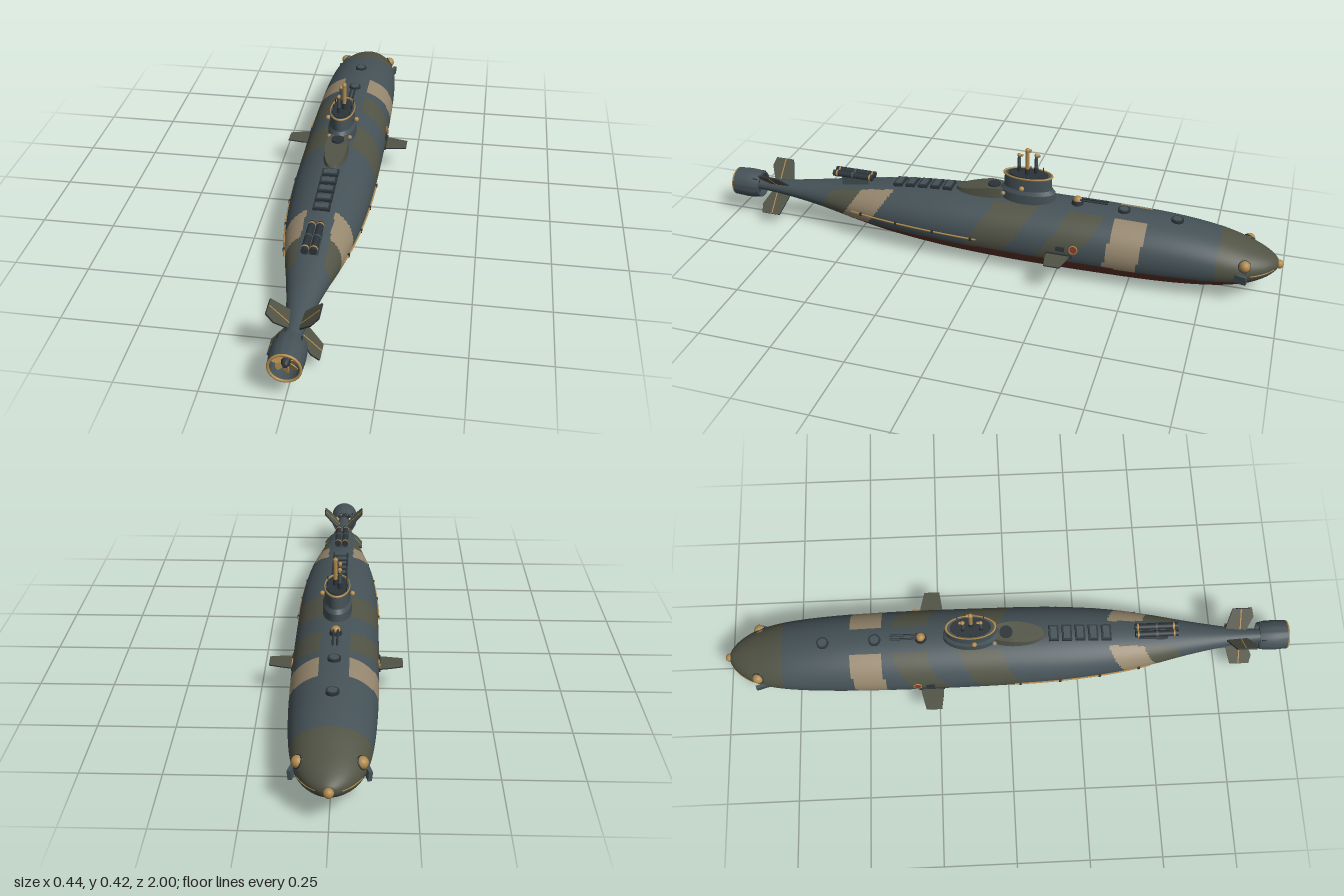
import * as THREE from 'three';
import { toCreasedNormals } from 'three/addons/utils/BufferGeometryUtils.js';

const V2 = (x, y) => new THREE.Vector2(x, y);
const V3 = (x, y, z) => new THREE.Vector3(x, y, z);

// Hull stations, bow (-z) to stern: z, half width, top, bottom
const stations = [
  [-0.985, 0, 0.12, 0.12], [-0.975, 0.03, 0.139, 0.1], [-0.94, 0.068, 0.159, 0.075],
  [-0.88, 0.1, 0.181, 0.05], [-0.78, 0.122, 0.208, 0.027], [-0.62, 0.135, 0.228, 0.01],
  [-0.4, 0.141, 0.235, 0.003], [-0.1, 0.141, 0.235, 0.001], [0.15, 0.136, 0.229, 0.011],
  [0.35, 0.119, 0.213, 0.03], [0.5, 0.093, 0.192, 0.052], [0.65, 0.06, 0.168, 0.077],
  [0.8, 0.033, 0.146, 0.092], [0.91, 0.022, 0.138, 0.098]];
const plan = new THREE.SplineCurve(stations.map(s => V2(s[0], s[1])));
const side = new THREE.SplineCurve(stations.map(s => V2(s[2], s[3])));

// Point on the hull at curve position t, angle a from the top towards +x
function hullAt(t, a) {
  const p = plan.getPoint(t), q = side.getPoint(t);
  return V3(Math.max(p.y, 0) * Math.sin(a),
    (q.x + q.y) / 2 + (q.x - q.y) / 2 * Math.cos(a), p.x);
}
// Same, looked up by z
function hullAtZ(z, a) {
  let lo = 0, hi = 1;
  for (let i = 0; i < 30; i++) {
    const m = (lo + hi) / 2;
    if (plan.getPoint(m).x < z) lo = m; else hi = m;
  }
  return hullAt(lo, a);
}

// Paint scheme: 0 steel, 1 olive, 2 sand, 3 red bottom
function paint({ x, y, z }) {
  if (y < 0.083 && z < 0.76) return 3;
  if (z < -0.79) return 1;
  if (Math.abs(x) < 0.046) return 0;
  const u = z - 0.7 * (0.21 - y), v = z - 0.15 * (0.22 - y);
  if ((u > 0.35 && u < 0.46) || (v > -0.55 && v < -0.44)) return 2;
  if ((u > -0.16 && u < -0.01) || (u > -0.39 && u < -0.27) || (u > 0.46 && u < 0.56)) return 1;
  return 0;
}

function hullGeometry() {
  const rows = 320, cols = 128, pos = [], faces = [[], [], [], []];
  for (let i = 0; i <= rows; i++)
    for (let j = 0; j < cols; j++) pos.push(...hullAt(i / rows, j / cols * Math.PI * 2));
  for (let i = 0; i < rows; i++)
    for (let j = 0; j < cols; j++) {
      const k = (j + 1) % cols, a = i * cols + j, b = a + cols, c = i * cols + k, d = c + cols;
      faces[paint(hullAt((i + 0.5) / rows, (j + 0.5) / cols * Math.PI * 2))].push(a, b, c, b, d, c);
    }
  const g = new THREE.BufferGeometry();
  g.setAttribute('position', new THREE.Float32BufferAttribute(pos, 3));
  g.setIndex(faces.flat());
  let start = 0;
  faces.forEach((f, m) => { g.addGroup(start, f.length, m); start += f.length; });
  g.computeVertexNormals();
  return g;
}

export function createModel() {
  const root = new THREE.Group();
  root.name = 'submarine';
  const mat = (name, color) => {
    const m = new THREE.MeshStandardMaterial({ color });
    m.name = name;
    return m;
  };
  const steel = mat('steel', 0x455257), olive = mat('olive', 0x515345), sand = mat('sand', 0x96876e);
  const red = mat('redBottom', 0x5a3027), dark = mat('darkSteel', 0x2c3439), brass = mat('brass', 0xb08a4c);
  const valveRed = mat('valveRed', 0x8c3a2a);

  const add = (name, geo, m, x = 0, y = 0, z = 0, parent = root) => {
    const mesh = new THREE.Mesh(geo, m);
    mesh.name = name;
    mesh.position.set(x, y, z);
    parent.add(mesh);
    return mesh;
  };
  const box = (w, h, d) => new THREE.BoxGeometry(w, h, d);
  const cyl = (r, h, r2 = r, n = 24) => new THREE.CylinderGeometry(r, r2, h, n);
  const ball = r => new THREE.SphereGeometry(r, 20, 14);
  const lathe = pts => toCreasedNormals(new THREE.LatheGeometry(pts.map(p => V2(...p)), 48), 0.6);
  const rod = (name, pts, r, m) =>
    add(name, new THREE.TubeGeometry(new THREE.CatmullRomCurve3(pts), 40, r, 8), m);
  const slab = (pts, depth) => new THREE.ExtrudeGeometry(
    new THREE.Shape(pts.map(p => V2(...p))), { depth, bevelEnabled: false }).translate(0, 0, -depth / 2);

  add('hull', hullGeometry(), [steel, olive, sand, red]);

  // Conning tower with brass rim and sloping rear fairing
  add('tower', lathe([[1.12, 0.2], [1.1, 0.262], [0.96, 0.275], [0.93, 0.32], [0, 0.32]])
    .scale(0.044, 1, 0.088), steel, 0, 0, -0.125);
  add('towerRim', new THREE.TorusGeometry(0.95, 0.045, 8, 48).rotateX(Math.PI / 2)
    .scale(0.044, 0.09, 0.088), brass, 0, 0.321, -0.125);
  add('towerDeck', cyl(0.8, 0.006).scale(0.044, 1, 0.088), dark, 0, 0.321, -0.125);
  const fairing = cyl(0.9, 0.06, 1.05, 48).scale(0.042, 1, 0.11);
  const fp = fairing.attributes.position;
  for (let i = 0; i < fp.count; i++)
    if (fp.getY(i) > 0) fp.setY(i, 0.03 - Math.max(0, fp.getZ(i) + 0.02) * 0.22);
  fairing.computeVertexNormals();
  add('towerFairing', toCreasedNormals(fairing, 0.6), olive, 0, 0.234, 0.03);
  add('fairingHatch', cyl(0.022, 0.008), dark, 0, 0.264, -0.005);
  for (const s of [-1, 1]) {
    add('towerLamp', ball(0.009), brass, s * 0.05, 0.288, -0.115);
    add('towerLampMount', cyl(0.006, 0.014).rotateZ(Math.PI / 2), dark, s * 0.043, 0.288, -0.115);
    add('rearLamp', ball(0.008), sand, s * 0.036, 0.253, -0.046);
    for (const z of [-0.17, -0.125, -0.08])
      add('railPost', cyl(0.0018, 0.016, 0.0018, 8), dark, s * 0.032, 0.327, z);
  }

  // Periscopes: x, z, top, radius
  for (const [x, z, top, r] of [[0.006, -0.123, 0.414, 0.0075], [-0.009, -0.15, 0.391, 0.0065], [-0.009, -0.09, 0.385, 0.006]]) {
    add('periscopeSleeve', cyl(r * 1.1, 0.03), dark, x, 0.33, z);
    add('periscopeTube', cyl(r * 0.9, top - 0.34), r > 0.007 ? brass : steel, x, (top + 0.34) / 2, z);
    add('periscopeHead', ball(r * 1.1), brass, x, top, z);
    add('periscopeLens', cyl(r * 0.7, 0.014).rotateX(Math.PI / 2), brass, x, top, z - 0.006);
  }

  // Deck gun ahead of the tower
  add('gunBase', cyl(0.018, 0.02, 0.022), dark, 0, 0.239, -0.3);
  add('gunMount', ball(0.016), brass, 0, 0.248, -0.3);
  for (const s of [-1, 1]) add('gunBarrel', cyl(0.0035, 0.11).rotateX(Math.PI / 2), dark, s * 0.007, 0.254, -0.35);

  // Deck hatches and vent slats
  for (const z of [-0.64, -0.46]) {
    const y = hullAtZ(z, 0).y;
    add('hatch', cyl(0.021, 0.01), dark, 0, y + 0.002, z);
    add('hatchLid', cyl(0.015, 0.006), steel, 0, y + 0.006, z);
  }
  for (let i = 0; i < 5; i++) {
    const z = 0.16 + i * 0.046, y = hullAtZ(z, 0).y;
    add('slatFrame', box(0.056, 0.014, 0.034), dark, 0, y + 0.001, z).rotation.x = 0.08;
    add('slatTop', box(0.044, 0.005, 0.022), steel, 0, y + 0.008, z).rotation.x = 0.08;
  }

  // Twin launcher on the after deck
  add('launcherBase', box(0.046, 0.03, 0.1), steel, 0, 0.198, 0.51);
  for (const s of [-1, 1]) {
    add('launcherTube', cyl(0.0115, 0.15).rotateX(Math.PI / 2), dark, s * 0.0135, 0.22, 0.52);
    for (const z of [0.455, 0.52, 0.58])
      add('launcherBand', cyl(0.0125, 0.006).rotateX(Math.PI / 2), z === 0.52 ? steel : brass, s * 0.0135, 0.22, z);
  }

  // Bow and side fittings, mirrored
  add('bowLamp', ball(0.015), brass, 0, 0.12, -0.984);
  for (const s of [-1, 1]) {
    const eye = hullAtZ(-0.877, s * 1.1);
    add('bowSonar', ball(0.019), brass, eye.x, eye.y, eye.z);
    const ring = add('sonarRing', new THREE.TorusGeometry(0.019, 0.0025, 8, 24), dark, eye.x, eye.y, eye.z);
    ring.lookAt(eye.x + s, eye.y + 0.6, eye.z - 0.4);
    const door = hullAtZ(-0.86, s * 1.7);
    add('torpedoDoor', box(0.012, 0.03, 0.06), steel, door.x, door.y, door.z).rotation.set(0, -s * 0.28, -s * 0.1);
    rod('bowTrim', [-0.97, -0.945, -0.92, -0.9].map(z => hullAtZ(z, s * 1.65)), 0.002, brass);

    // Side pipe with clamps
    const pipeAt = z => hullAtZ(z, s * 1.6).add(V3(s * 0.002, 0, 0));
    rod('sidePipe', [0.5, 0.42, 0.34, 0.26, 0.18, 0.1, 0.02].map(pipeAt), 0.003, brass);
    for (const z of [0.46, 0.32, 0.18, 0.04])
      add('pipeClamp', box(0.008, 0.012, 0.008), dark, ...pipeAt(z).toArray());

    // Valve lying against the hull, with its plate
    const v = hullAtZ(-0.32, s * 1.42);
    const valve = new THREE.Group();
    valve.name = 'valve';
    valve.position.copy(v);
    valve.rotation.z = s * 0.18;
    root.add(valve);
    add('valveDisc', cyl(0.013, 0.006).rotateZ(Math.PI / 2), valveRed, 0, 0, 0, valve);
    add('valveRing', new THREE.TorusGeometry(0.0135, 0.002, 8, 24).rotateY(Math.PI / 2), brass, s * 0.002, 0, 0, valve);
    add('valvePlate', box(0.004, 0.016, 0.03), dark, s * 0.001, -0.004, 0.045, valve);

    // Bow planes with dark edges
    const plane = [[0.12, -0.315], [0.17, -0.305], [0.22, -0.292], [0.22, -0.238], [0.165, -0.23], [0.12, -0.23]]
      .map(([x, z]) => [s * x, -z]);
    add('bowPlane', slab(plane, 0.004).rotateX(-Math.PI / 2), [olive, dark], 0, 0.11, 0);
    add('bowPlaneRoot', box(0.012, 0.012, 0.09), dark, s * 0.14, 0.11, -0.272);
  }

  // X-shaped stern fins with dark edges and brass hinge lines
  const finShape = [[0.02, 0.775], [0.075, 0.79], [0.108, 0.8], [0.108, 0.868], [0.075, 0.875], [0.02, 0.85]]
    .map(([r, z]) => [r, -z]);
  for (let i = 0; i < 4; i++) {
    const fin = new THREE.Group();
    fin.name = 'sternFin';
    fin.position.y = 0.118;
    fin.rotation.z = Math.PI / 4 + i * Math.PI / 2;
    root.add(fin);
    add('finBlade', slab(finShape, 0.005).rotateX(-Math.PI / 2), [olive, dark], 0, 0, 0, fin);
    add('finHinge', box(0.08, 0.0066, 0.004), brass, 0.066, 0, 0.83, fin);
    add('shroudStrut', box(0.04, 0.005, 0.03), dark, 0.03, 0, 0.915, fin);
  }

  // Shrouded propeller
  const drive = new THREE.Group();
  drive.name = 'propulsor';
  drive.position.y = 0.116;
  root.add(drive);
  add('shroud', lathe([[0.041, 0.895], [0.047, 0.895], [0.052, 0.92], [0.053, 0.95], [0.05, 0.997],
    [0.043, 0.997], [0.044, 0.95], [0.041, 0.895]]).rotateX(Math.PI / 2), steel, 0, 0, 0, drive);
  add('shroudRim', new THREE.TorusGeometry(0.0465, 0.0042, 10, 48), brass, 0, 0, 0.9955, drive);
  add('tailCone', lathe([[0.021, 0.89], [0.016, 0.95], [0.013, 0.975], [0.007, 0.987], [0, 0.99]])
    .rotateX(Math.PI / 2), dark, 0, 0, 0, drive);
  const blade = [[0.01, -0.004], [0.022, -0.009], [0.036, -0.012], [0.042, -0.004], [0.041, 0.007], [0.028, 0.009], [0.01, 0.004]];
  for (let i = 0; i < 8; i++)
    add('propellerBlade', slab(blade, 0.003).rotateX(0.45).rotateZ(i * Math.PI / 4), brass, 0, 0, 0.965, drive);

  return root;
}
